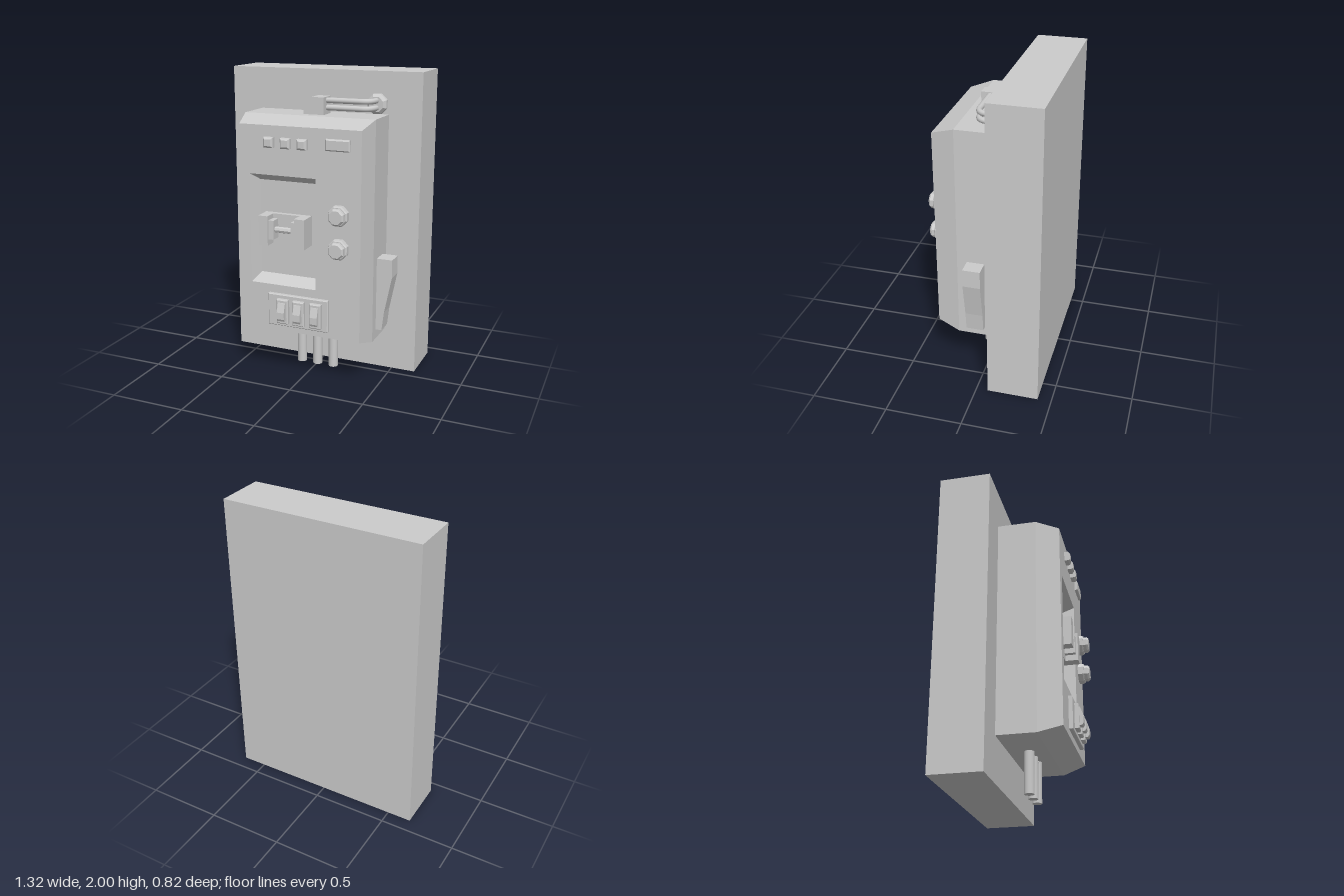
import * as THREE from 'three';

const material = new THREE.MeshStandardMaterial({ color: 0xcccccc, flatShading: true });
const smooth = new THREE.MeshStandardMaterial({ color: 0xcccccc });

// Skin through rectangles [x0, x1, y0, y1, z] from back to front, capped at both ends
function loftRects(rings) {
  const corners = rings.map(([x0, x1, y0, y1, z]) =>
    [[x0, y0, z], [x1, y0, z], [x1, y1, z], [x0, y1, z]]);
  const pos = [];
  const quad = (a, b, c, d) => pos.push(...a, ...b, ...c, ...a, ...c, ...d);
  for (let i = 0; i < corners.length - 1; i++) {
    const p = corners[i], q = corners[i + 1];
    for (let k = 0; k < 4; k++) quad(p[k], p[(k + 1) % 4], q[(k + 1) % 4], q[k]);
  }
  quad(...corners[corners.length - 1]);
  quad(...corners[0].slice().reverse());
  const g = new THREE.BufferGeometry();
  g.setAttribute('position', new THREE.Float32BufferAttribute(pos, 3));
  g.computeVertexNormals();
  return g;
}

const box = (x0, x1, y0, y1, z0, z1) =>
  new THREE.BoxGeometry(x1 - x0, y1 - y0, z1 - z0)
    .translate((x0 + x1) / 2, (y0 + y1) / 2, (z0 + z1) / 2);

// Box with its front edges bevelled by b
const bevelBox = (x0, x1, y0, y1, z0, z1, b) => loftRects([
  [x0, x1, y0, y1, z0], [x0, x1, y0, y1, z1 - b], [x0 + b, x1 - b, y0 + b, y1 - b, z1]]);

// Flat outline in x and y, extruded from z0 to z1
const prism = (points, z0, z1) =>
  new THREE.ExtrudeGeometry(new THREE.Shape(points.map(p => new THREE.Vector2(...p))),
    { depth: z1 - z0, bevelEnabled: false }).translate(0, 0, z0);

// Octagonal turned part facing +z, profile of [radius, z]
const octagon = (profile, x, y) =>
  new THREE.LatheGeometry(profile.map(p => new THREE.Vector2(...p)), 8, Math.PI / 8)
    .rotateX(Math.PI / 2).translate(x, y, 0);

export function createModel() {
  const model = new THREE.Group();
  const add = (name, geometry, mat = material, parent = model) => {
    const mesh = new THREE.Mesh(geometry, mat);
    mesh.name = name;
    parent.add(mesh);
    return mesh;
  };

  add('wallSlab', box(-0.66, 0.66, 0, 2, -0.41, -0.075));

  // Housing with tapered front and sunken window
  add('housing', loftRects([
    [-0.445, 0.445, 0.28, 1.73, -0.07],
    [-0.445, 0.445, 0.28, 1.73, 0.18],
    [-0.41, 0.41, 0.325, 1.68, 0.33],
    [-0.345, 0.11, 0.64, 1.365, 0.33],
    [-0.31, 0.075, 0.69, 1.315, 0.25]]));

  // Grip in the window: back plate, two cheeks and a flanged bar
  const grip = new THREE.Group();
  grip.name = 'breakerGrip';
  model.add(grip);
  add('gripPlate', box(-0.205, -0.02, 0.91, 1.105, 0.24, 0.285), material, grip);
  for (const [x0, x1] of [[-0.27, -0.205], [-0.02, 0.05]])
    add('gripCheek', box(x0, x1, 0.91, 1.105, 0.24, 0.37), material, grip);
  for (const [x0, x1] of [[-0.205, -0.17], [-0.05, -0.02]])
    add('gripFlange', box(x0, x1, 0.95, 1.075, 0.28, 0.355), material, grip);
  add('gripBar', new THREE.CylinderGeometry(0.02, 0.02, 0.13, 8)
    .rotateZ(Math.PI / 2).translate(-0.11, 1.012, 0.325), material, grip);

  // Indicators and name plate
  for (const x of [-0.2, -0.085, 0.028])
    add('indicator', bevelBox(x - 0.033, x + 0.033, 1.542, 1.608, 0.32, 0.367, 0.012));
  add('blankPlate', bevelBox(0.18, 0.34, 1.547, 1.62, 0.32, 0.35, 0.008));

  // Push buttons
  for (const y of [1.15, 0.935])
    add('pushButton', octagon([[0.068, 0.32], [0.068, 0.362], [0.06, 0.37], [0.055, 0.37],
      [0.055, 0.392], [0.045, 0.403], [0, 0.403]], 0.27, y));

  // Switch panel with three rockers
  add('switchPanel', bevelBox(-0.215, 0.203, 0.37, 0.585, 0.32, 0.355, 0.005));
  for (const x of [-0.105, 0.007, 0.125]) {
    add('switchFrame', bevelBox(x - 0.04, x + 0.04, 0.395, 0.56, 0.35, 0.382, 0.006));
    const rocker = prism([[-0.37, 0.42], [-0.37, 0.54], [-0.388, 0.54], [-0.408, 0.48],
      [-0.408, 0.435], [-0.4, 0.42]].reverse(), -0.025, 0.025);
    add('rocker', rocker.rotateY(Math.PI / 2).translate(x, 0, 0)).updateMatrix();
  }

  // Side lever
  add('sideLever', prism([[0.44, 0.345], [0.485, 0.345], [0.5, 0.47], [0.548, 0.71],
    [0.548, 0.83], [0.44, 0.83]], 0, 0.115));

  // Conduits below
  for (const x of [-0.105, 0.01, 0.125])
    add('conduit', new THREE.CylinderGeometry(0.032, 0.032, 0.29, 16)
      .translate(x, 0.155, 0.06), smooth);

  // Cable box, twin cables and wall fitting on top
  add('cableBox', prism([[-0.065, 1.725], [0.075, 1.725], [0.075, 1.84], [-0.01, 1.84],
    [-0.065, 1.775]], 0, 0.115));
  for (const y of [1.772, 1.818]) {
    const path = new THREE.CurvePath();
    const v = (x, z) => new THREE.Vector3(x, y, z);
    path.add(new THREE.LineCurve3(v(0.06, 0.06), v(0.29, 0.06)));
    path.add(new THREE.CubicBezierCurve3(v(0.29, 0.06), v(0.345, 0.06), v(0.372, 0.035), v(0.372, -0.04)));
    add('cable', new THREE.TubeGeometry(path, 24, 0.018, 10), smooth);
  }
  add('wallFitting', octagon([[0.068, -0.08], [0.068, -0.05], [0.05, -0.03], [0, -0.03]], 0.37, 1.795));

  return model;
}
